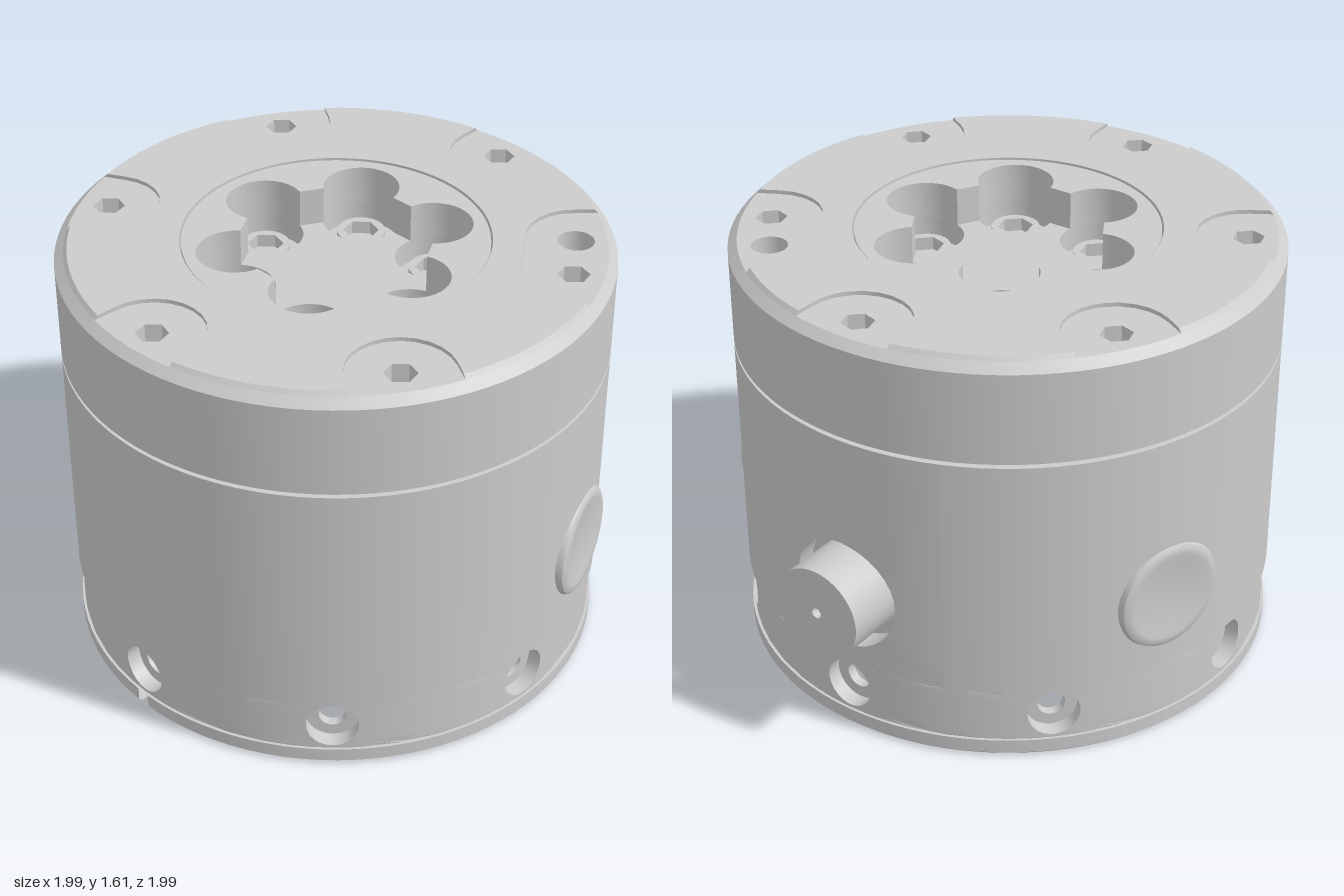
import * as THREE from 'three';
import { mergeGeometries, toCreasedNormals } from 'three/addons/utils/BufferGeometryUtils.js';

const RAD = Math.PI / 180;
const R = 0.997, BAND = 0.985;          // outer radii
const RI = 0.865, RI_LOW = 0.89;        // inner radii
const grey = new THREE.MeshStandardMaterial({ color: 0xcccccc, side: THREE.DoubleSide });

export function createModel() {
  const model = new THREE.Group();

  const add = (name, geometry) => {
    const mesh = new THREE.Mesh(toCreasedNormals(geometry, 0.5), grey);
    mesh.name = name;
    model.add(mesh);
    return mesh;
  };
  const lathe = (pts, seg = 96, start = 0, length = 360) =>
    new THREE.LatheGeometry(pts.map(p => new THREE.Vector2(...p)), seg, start * RAD, length * RAD);
  // turned part whose axis points outward at compass angle phi
  const radialLathe = (pts, phi, y) =>
    lathe(pts, 48).rotateX(Math.PI / 2).rotateY(phi * RAD).translate(0, y, 0);

  // flat outline (x, z) made into a horizontal slab below y = top
  const slab = (shape, top, depth) =>
    new THREE.ExtrudeGeometry(shape, { depth, bevelEnabled: false, curveSegments: 48 })
      .rotateX(Math.PI / 2).translate(0, top, 0);
  const polygon = (r, n, cx = 0, cy = 0) => Array.from({ length: n }, (_, i) => {
    const a = i / n * 2 * Math.PI;
    return new THREE.Vector2(cx + r * Math.cos(a), cy + r * Math.sin(a));
  });
  const disc = (r, holes = []) => {
    const s = new THREE.Shape(polygon(r, 96));
    s.holes = holes.map(h => new THREE.Path(h));
    return s;
  };
  // point at polar angle a (degrees): u outward, v sideways
  const polar = (a, u, v = 0) => {
    const c = Math.cos(a * RAD), s = Math.sin(a * RAD);
    return new THREE.Vector2(u * c - v * s, u * s + v * c);
  };

  // curved wall panel with a counterbored hole through it
  function drilledPanel(phi, y0, y1, yc, ro, ri, bigR, smallR, floor) {
    const N = 32, STEPS = 6, half = 22.5 * RAD, rows = [];
    const onCylinder = (a, y, r) => [a, y, Math.sqrt(r * r - a * a)];
    const row = f => rows.push(Array.from({ length: N }, (_, j) => {
      const t = j / N * 2 * Math.PI;
      return f(Math.cos(t), Math.sin(t));
    }));
    const blend = (r, hole, k) => row((c, s) => {
      const m = Math.max(Math.abs(c), Math.abs(s));
      const a = r * Math.sin(c / m * half), v = s / m * (s > 0 ? y1 - yc : yc - y0);
      return onCylinder(a + (hole * c - a) * k, yc + v + (hole * s - v) * k, r);
    });
    for (let i = 0; i <= STEPS; i++) blend(ro, bigR, i / STEPS);
    row((c, s) => [bigR * c, yc + bigR * s, floor]);
    row((c, s) => [smallR * c, yc + smallR * s, floor]);
    for (let i = STEPS; i >= 0; i--) blend(ri, smallR, i / STEPS);
    const index = [];
    for (let i = 0; i < rows.length - 1; i++) {
      for (let j = 0; j < N; j++) {
        const a = i * N + j, b = i * N + (j + 1) % N;
        index.push(a, b, a + N, b, b + N, a + N);
      }
    }
    const g = new THREE.BufferGeometry();
    g.setAttribute('position', new THREE.Float32BufferAttribute(rows.flat(2), 3));
    g.setIndex(index);
    return g.rotateY(phi * RAD);
  }

  // base ring with a small locating notch
  const baseProfile = r => [[RI_LOW, 0.065], [RI_LOW, 0.012], [0.9, 0], [r - 0.012, 0],
    [r, 0.012], [r, 0.065], [RI_LOW, 0.065]];
  add('baseRing', lathe(baseProfile(0.995), 96, -43.5, 357));
  add('baseNotch', lathe(baseProfile(0.95), 2, -46.5, 3));

  // lower band with eight counterbored screw holes
  add('screwHoleBand', mergeGeometries(Array.from({ length: 8 }, (_, i) =>
    drilledPanel(i * 45, 0.065, 0.28, 0.172, BAND, RI_LOW, 0.095, 0.05, 0.925))));
  add('bandStepOuter', lathe([[BAND, 0.28], [R, 0.28]]));
  add('bandStepInner', lathe([[RI_LOW, 0.28], [RI, 0.28]]));

  // main barrel, with one panel opened for the connector
  add('barrel', lathe([[RI, 0.28], [R, 0.28], [R, 1.21], [RI, 1.21], [RI, 0.28]], 84, 157.5, 315));
  add('connectorPanel', drilledPanel(135, 0.28, 1.21, 0.575, R, RI, 0.215, 0.177, 0.9));
  add('connector', radialLathe([[0, 0.8], [0.175, 0.8], [0.175, 1.14], [0.02, 1.14],
    [0.02, 1.08], [0, 1.08]], 135, 0.575));

  // round side covers
  for (const phi of [65, 205]) {
    add('sideCover', radialLathe([[0.21, 0.93], [0.21, 0.985], [0.204, 1.0], [0.19, 1.008],
      [0.17, 1.009], [0.145, 1.003], [0, 1.003]], phi, 0.575));
  }

  // cap wall, groove and chamfer
  add('capWall', lathe([[RI, 1.21], [R, 1.21], [0.96, 1.21], [0.96, 1.225], [R, 1.225],
    [R, 1.565], [0.963, 1.595]]));

  // deck with hex sockets and one dowel hole
  const screwAngles = [15, 75, 135, 195, 255, 315];
  const sockets = screwAngles.map(a => {
    const p = polar(a, 0.855);
    return polygon(0.058, 6, p.x, p.y);
  });
  const dowel = polar(0, 0.85);
  add('capDeck', slab(disc(0.963, [polygon(0.555, 64), ...sockets,
    polygon(0.066, 24, dowel.x, dowel.y)]), 1.595, 0.1));
  add('socketFloor', slab(disc(0.96, [polygon(0.555, 64)]), 1.5, 0.02));

  // raised top plate, notched around each screw
  const bites = [[0, 15], ...screwAngles.slice(1).map(a => [a, a])];
  const W = 0.19, EDGE = 0.95, side = Math.asin(W / EDGE) / RAD;
  const outline = [];
  bites.forEach(([a0, a1], i) => {
    outline.push(polar(a0 - side, EDGE));
    for (let t = -90; t <= 90; t += 15) {
      outline.push(polar(t < 0 ? a0 : a1, 0.86 - W * Math.cos(t * RAD), W * Math.sin(t * RAD)));
    }
    const next = i < bites.length - 1 ? bites[i + 1][0] : 360;
    const from = a1 + side, to = next - side;
    for (let k = 0; k < 10; k++) outline.push(polar(from + (to - from) * k / 10, EDGE));
  });
  const plateShape = new THREE.Shape(outline);
  plateShape.holes.push(new THREE.Path(polygon(0.555, 64)));
  const plate = slab(plateShape, 1.61, 0.015);
  const pos = plate.attributes.position;
  for (let i = 0; i < pos.count; i++) {   // carry the chamfer up the plate edge
    const r = Math.hypot(pos.getX(i), pos.getZ(i));
    if (r > 0.945 && pos.getY(i) < 1.6) {
      pos.setX(i, pos.getX(i) * 0.963 / r);
      pos.setZ(i, pos.getZ(i) * 0.963 / r);
    }
  }
  add('topPlate', plate);

  // centre hub: six-lobed well, floor and bolts
  const boltAngles = [0, 1, 2, 3, 4, 5].map(k => -16 + 60 * k);
  const lobes = [];
  for (const a of boltAngles) {
    for (let t = -110; t <= 110; t += 10) {
      lobes.push(polar(a, 0.365 + 0.14 * Math.cos(t * RAD), 0.14 * Math.sin(t * RAD)));
    }
  }
  const boltCentres = boltAngles.map(a => polar(a, 0.365));
  add('hub', slab(disc(0.549, [lobes]), 1.604, 0.144));
  add('hubFloor', slab(disc(0.549, boltCentres.map(p => polygon(0.14, 32, p.x, p.y))), 1.46, 0.09));
  add('boltSeat', slab(disc(0.549), 1.37, 0.05));
  for (const p of boltCentres) {
    const head = new THREE.Shape(polygon(0.09, 24));
    head.holes.push(new THREE.Path(polygon(0.066, 6)));
    add('boltHead', slab(head, 1.42, 0.05).translate(p.x, 0, p.y));
  }

  // circuit board inside, with components hanging beneath
  add('circuitBoard', new THREE.CylinderGeometry(0.87, 0.87, 0.04, 64).translate(0, 0.72, 0));
  // [across, depth, width, height, length]
  const parts = [[-0.36, 0.55, 0.27, 0.16, 0.2], [-0.15, 0.57, 0.12, 0.1, 0.12],
    [0.03, 0.45, 0.17, 0.12, 0.2], [-0.08, 0.28, 0.1, 0.08, 0.14],
    [0.49, 0.5, 0.2, 0.12, 0.2], [0.41, 0.36, 0.08, 0.07, 0.1]];
  for (const [s, t, w, h, l] of parts) {
    add('component', new THREE.BoxGeometry(w, h, l).translate(-s, 0.7 - h / 2, t).rotateY(-45 * RAD));
  }
  return model;
}
